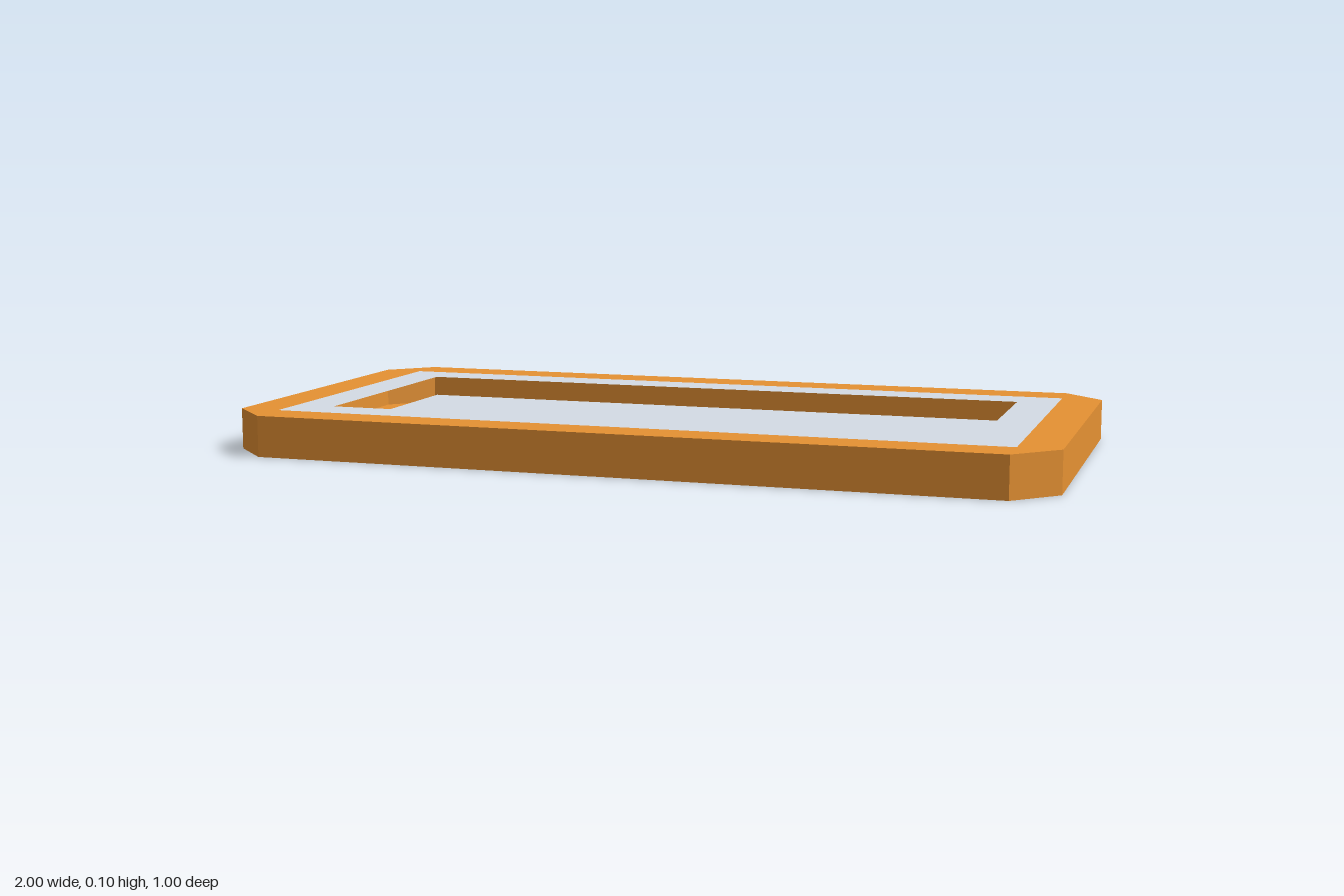
import * as THREE from 'three';

const HEIGHT = 0.1;

// The shell is hollow and open around the panel, so both sides show
const frameOrange = new THREE.MeshStandardMaterial({ color: 0xe59133, side: THREE.DoubleSide });
frameOrange.name = 'frame orange';
const panelGrey = new THREE.MeshStandardMaterial({ color: 0xd4dce5, side: THREE.DoubleSide });
panelGrey.name = 'panel grey';

// Outlines run counter-clockwise seen from above, as (x, -z)
const rectangle = (w, d) => [[w, -d], [w, d], [-w, d], [-w, -d]].map(([x, y]) => new THREE.Vector2(x, y));
const chamfered = (w, d, c) => [
  [w, -d + c], [w, d - c], [w - c, d], [-w + c, d],
  [-w, d - c], [-w, -d + c], [-w + c, -d], [w - c, -d],
].map(([x, y]) => new THREE.Vector2(x, y));

// Flat horizontal face with an optional hole
function flatFace(outline, hole, y, up) {
  const shape = new THREE.Shape(outline);
  if (hole) shape.holes.push(new THREE.Path(hole));
  const geometry = new THREE.ShapeGeometry(shape);
  geometry.rotateX(up ? -Math.PI / 2 : Math.PI / 2);
  geometry.translate(0, y, 0);
  return geometry;
}

// Upright wall along an outline, facing outward
function wall(outline, y0, y1) {
  const positions = [];
  outline.forEach((a, i) => {
    const b = outline[(i + 1) % outline.length];
    const a0 = [a.x, y0, -a.y], b0 = [b.x, y0, -b.y];
    const a1 = [a.x, y1, -a.y], b1 = [b.x, y1, -b.y];
    positions.push(...a0, ...b0, ...b1, ...a0, ...b1, ...a1);
  });
  const geometry = new THREE.BufferGeometry();
  geometry.setAttribute('position', new THREE.Float32BufferAttribute(positions, 3));
  geometry.computeVertexNormals();
  return geometry;
}

export function createModel() {
  const model = new THREE.Group();
  model.name = 'framedPanel';
  const add = (name, geometry, material) => {
    const mesh = new THREE.Mesh(geometry, material);
    mesh.name = name;
    model.add(mesh);
  };

  const outer = chamfered(1, 0.5, 0.1);
  const border = rectangle(0.9, 0.4);
  const opening = rectangle(0.8, 0.3);

  // Outer frame edge
  add('frameEdge', wall(outer, 0, HEIGHT), frameOrange);

  // Frame faces and inner border, above and below
  for (const up of [true, false]) {
    const side = up ? 'Top' : 'Bottom';
    const y = up ? HEIGHT : 0;
    add('frame' + side, flatFace(outer, border, y, up), frameOrange);
    add('border' + side, flatFace(border, opening, y, up), panelGrey);
  }

  // Panel floating halfway between the two faces
  add('panel', flatFace(opening, null, HEIGHT / 2, true), panelGrey);

  return model;
}
